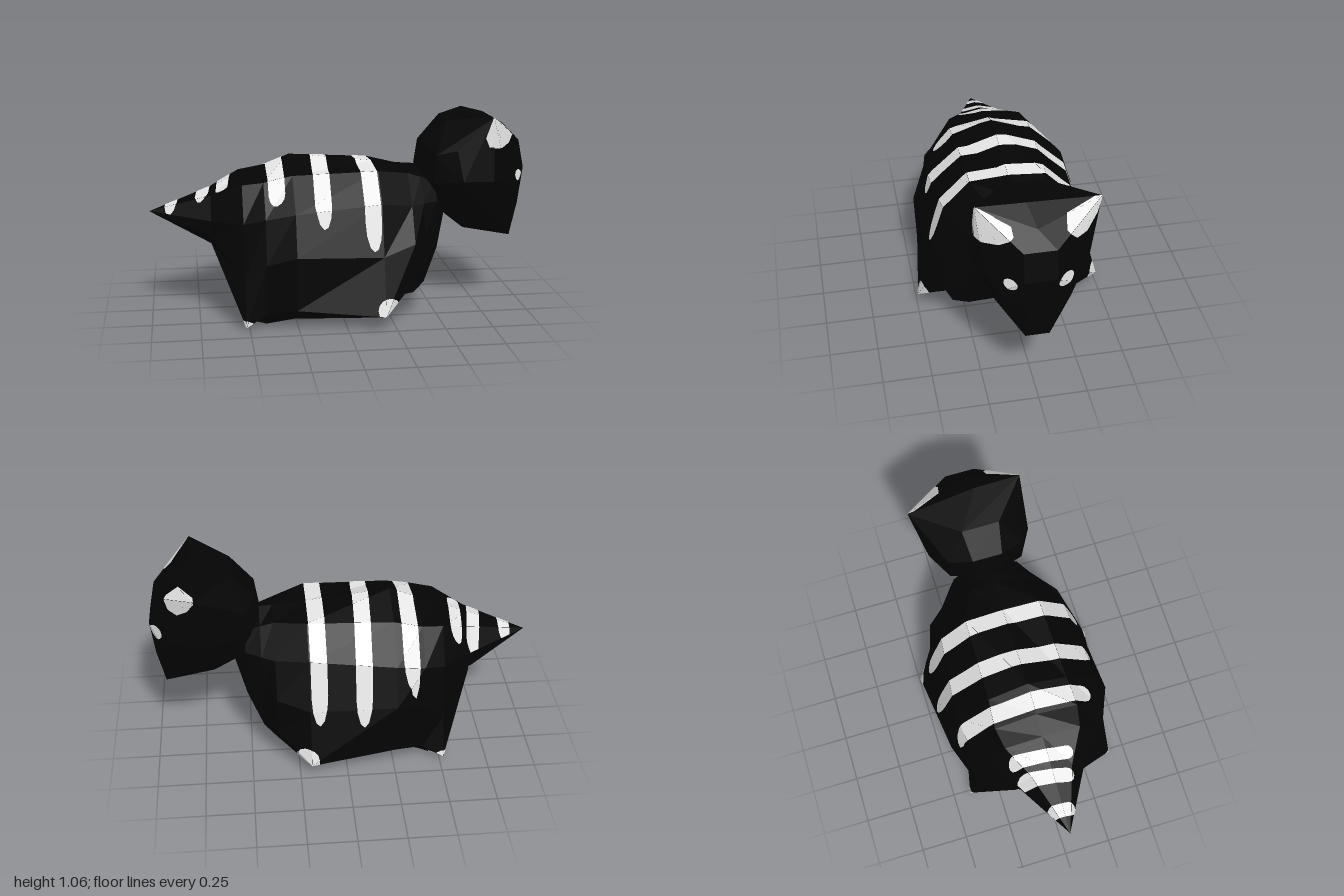
import * as THREE from 'three';
import { ConvexGeometry } from 'three/addons/geometries/ConvexGeometry.js';

const black = new THREE.MeshStandardMaterial({ color: 0x040404 });
black.name = 'black fur';
const white = new THREE.MeshStandardMaterial({ color: 0xe8e8e8 });
white.name = 'white markings';

function facets(triangles) {
  const geo = new THREE.BufferGeometry();
  geo.setAttribute('position', new THREE.Float32BufferAttribute(triangles.flat(2), 3));
  geo.computeVertexNormals();
  return geo;
}

// Body sections: x, then [y, z] from the spine down the left side to the belly
const sections = [
  [-0.68, [[0.675, 0], [0.65, 0.11], [0.53, 0.18], [0.45, 0.17], [0.40, 0.13], [0.385, 0.08], [0.385, 0]]],
  [-0.52, [[0.735, 0], [0.72, 0.20], [0.54, 0.31], [0.25, 0.36], [0.02, 0.41], [0.03, 0.30], [0.06, 0]]],
  [-0.41, [[0.78, 0], [0.735, 0.22], [0.57, 0.36], [0.34, 0.39], [0.08, 0.385], [0.008, 0.32], [0.04, 0]]],
  [-0.26, [[0.84, 0], [0.765, 0.21], [0.60, 0.385], [0.39, 0.45], [0.11, 0.44], [0, 0.24], [0.035, 0]]],
  [0.19, [[0.79, 0], [0.775, 0.20], [0.63, 0.34], [0.37, 0.42], [0.075, 0.495], [0.085, 0.24], [0.095, 0]]],
  [0.36, [[0.775, 0], [0.745, 0.13], [0.60, 0.27], [0.42, 0.37], [0.22, 0.365], [0.15, 0.33], [0.15, 0]]],
  [0.43, [[0.77, 0], [0.72, 0.12], [0.60, 0.23], [0.45, 0.28], [0.28, 0.28], [0.183, 0.255], [0.195, 0]]],
  [0.51, [[0.75, 0], [0.69, 0.10], [0.60, 0.18], [0.51, 0.205], [0.42, 0.21], [0.35, 0.19], [0.35, 0]]],
];

function bodyGeometry() {
  const ring = ([x, half]) => [
    ...half.map(([y, z]) => [x, y, z]),
    ...half.slice(1, -1).reverse().map(([y, z]) => [x, y, -z]),
  ];
  const rings = [Array(12).fill([-1, 0.55, 0]), ...sections.map(ring), Array(12).fill([0.6, 0.57, 0])];
  const tris = [];
  for (let i = 0; i < rings.length - 1; i++) {
    for (let j = 0; j < 12; j++) {
      const k = (j + 1) % 12;
      const a = rings[i][j], b = rings[i][k], c = rings[i + 1][k], d = rings[i + 1][j];
      if (a !== b) tris.push([a, b, d]);
      if (c !== d) tris.push([b, c, d]);
    }
  }
  return facets(tris);
}

function headGeometry() {
  const points = [
    [0.90, 0.98, 0], [0.78, 1.05, 0.03], // forehead, crown
    [0.78, 1.055, 0.275], [0.75, 1.02, -0.34], // ear tips
  ];
  const paired = [
    [1, 0.75, 0.08], [0.97, 0.90, 0.08], [0.98, 0.55, 0.06], [0.94, 0.37, 0.06], [0.68, 0.42, 0.06],
    [0.57, 0.51, 0.1], [0.63, 0.72, 0.28], [0.79, 0.72, 0.285], [0.87, 0.72, 0.24], [0.925, 0.66, 0.19],
    [0.90, 0.56, 0.17], [0.78, 0.52, 0.2], [0.57, 1.02, 0.1], [0.62, 0.985, 0.18], [0.45, 0.89, 0.08],
    [0.43, 0.76, 0.08], [0.49, 0.70, 0.2], [0.50, 0.85, 0.2], [0.60, 0.88, 0.25],
  ];
  for (const [x, y, z] of paired) points.push([x, y, z], [x, y, -z]);
  return new ConvexGeometry(points.map((p) => new THREE.Vector3(...p)));
}

// Cuts a convex outline out of a surface along one axis and lifts it slightly.
// Outline pairs are (y, z) for axis 0, (z, x) for axis 1 and (x, y) for axis 2.
// Further limits are functions that are positive where the marking is kept.
function marking(geo, axis, sign, outline, limits = []) {
  const u = (axis + 1) % 3, v = (axis + 2) % 3;
  const area = outline.reduce((s, p, i) => {
    const q = outline[(i + 1) % outline.length];
    return s + p[0] * q[1] - p[1] * q[0];
  }, 0);
  const edges = outline.map((p, i) => {
    const q = outline[(i + 1) % outline.length];
    return (w) => Math.sign(area) * ((q[0] - p[0]) * (w.getComponent(v) - p[1])
      - (q[1] - p[1]) * (w.getComponent(u) - p[0]));
  });
  const pos = geo.attributes.position, out = [];
  for (let t = 0; t < pos.count; t += 3) {
    const corners = [0, 1, 2].map((k) => new THREE.Vector3().fromBufferAttribute(pos, t + k));
    const normal = new THREE.Triangle(...corners).getNormal(new THREE.Vector3());
    if (normal.getComponent(axis) * sign < 0.03) continue;
    let poly = corners;
    for (const side of [...edges, ...limits]) {
      const next = [];
      poly.forEach((a, k) => {
        const b = poly[(k + 1) % poly.length], sa = side(a), sb = side(b);
        if (sa >= 0) next.push(a);
        if (sa * sb < 0) next.push(a.clone().lerp(b, sa / (sa - sb)));
      });
      poly = next;
    }
    const lifted = poly.map((w) => w.clone().addScaledVector(normal, 0.002).toArray());
    for (let k = 1; k < lifted.length - 1; k++) out.push([lifted[0], lifted[k], lifted[k + 1]]);
  }
  return facets(out);
}

function oval(cu, cv, ru, rv = ru, n = 14) {
  return Array.from({ length: n }, (_, i) => {
    const a = (i / n) * Math.PI * 2;
    return [cu + ru * Math.cos(a), cv + rv * Math.sin(a)];
  });
}

// Round-ended band between two points
function band([u0, v0], [u1, v1], r) {
  const dir = Math.atan2(v1 - v0, u1 - u0), pts = [];
  for (const [u, v, start] of [[u1, v1, dir - Math.PI / 2], [u0, v0, dir + Math.PI / 2]]) {
    for (let i = 0; i <= 6; i++) {
      const a = start + (i / 6) * Math.PI;
      pts.push([u + r * Math.cos(a), v + r * Math.sin(a)]);
    }
  }
  return pts;
}

export function createModel() {
  const model = new THREE.Group();
  const add = (name, geo, material) => {
    const mesh = new THREE.Mesh(geo, material);
    mesh.name = name;
    model.add(mesh);
  };
  const body = bodyGeometry(), head = headGeometry();
  add('body', body, black);
  add('head', head, black);

  // Back and tail stripes: end points as (z, x), then half width
  const stripes = [
    [[-0.365, -0.34], [0.275, -0.345], 0.043],
    [[-0.42, -0.09], [0.355, -0.115], 0.043],
    [[-0.40, 0.14], [0.372, 0.14], 0.043],
    [[-0.17, -0.595], [0.10, -0.62], 0.032],
    [[-0.15, -0.69], [0.07, -0.725], 0.035],
    [[-0.05, -0.88], [0.03, -0.885], 0.033],
  ];
  for (const [a, b, r] of stripes) add('stripe', marking(body, 1, 1, band(a, b, r)), white);

  // Eyes
  add('leftEye', marking(head, 0, 1, oval(0.72, 0.137, 0.03)), white);
  add('rightEye', marking(head, 0, 1, oval(0.722, -0.127, 0.037, 0.042)), white);

  // Inner ears
  add('leftEar', marking(head, 0, 1,
    [[1.06, 0.285], [0.99, 0.12], [0.955, 0.115], [0.905, 0.18], [0.89, 0.25], [0.90, 0.30]]), white);
  add('leftEarSide', marking(head, 2, 1,
    [[0.78, 1.06], [0.74, 0.95], [0.76, 0.90], [0.87, 0.90], [0.89, 0.96], [0.86, 1.01]],
    [(w) => w.z - 0.19, (w) => 0.993 + 0.42 * (w.z - 0.12) - w.y]), white);
  add('rightEar', marking(head, 0, 1,
    [[1.03, -0.35], [1.00, -0.15], [0.95, -0.14], [0.895, -0.19], [0.895, -0.25], [0.95, -0.31]]), white);

  // Toes: side and underside of each paw
  for (const s of [1, -1]) {
    add('frontToe', marking(body, 2, s, oval(0.21, 0.105, 0.06), [(w) => w.z * s - 0.43]), white);
    add('frontToeSole', marking(body, 1, -1, oval(s * 0.49, 0.2, 0.05), [(w) => 0.12 - w.y]), white);
    add('hindToe', marking(body, 2, s, oval(-0.52, 0.0, 0.055), [(w) => w.z * s - 0.34]), white);
    add('hindToeSole', marking(body, 1, -1, oval(s * 0.41, -0.52, s > 0 ? 0.04 : 0.09),
      [(w) => 0.045 - w.y]), white);
  }
  return model;
}
